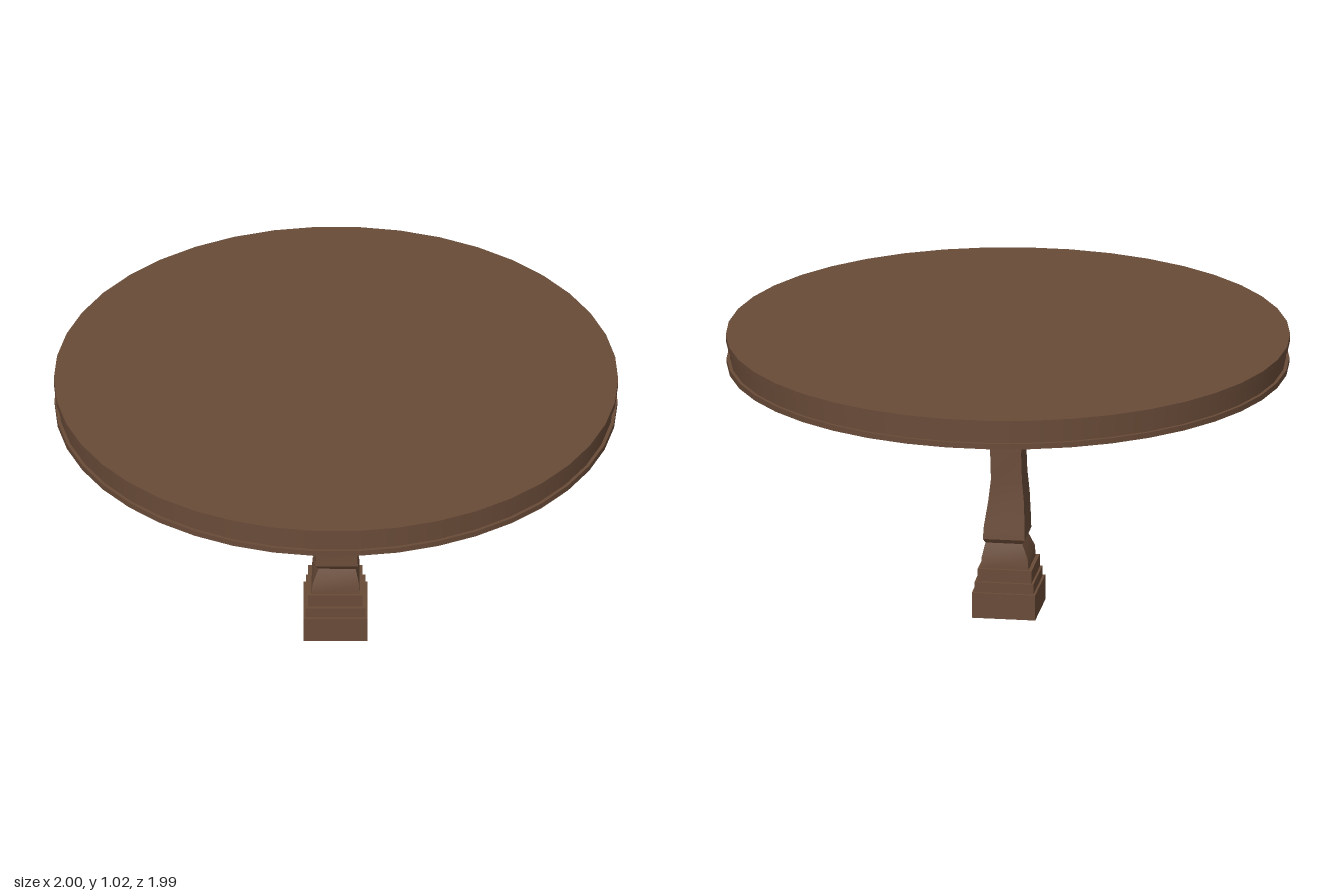
import * as THREE from 'three';

const SIDES = 42;

// Four-sided block from stacked rows [y, left x, right x, front z, back z];
// each side is smooth along its height, with sharp corners and flat ends.
function squareTurning(rows) {
  const position = [], index = [];
  const rings = rows.map(([y, x0, x1, zf, zb]) => [[x0, y, zf], [x1, y, zf], [x1, y, zb], [x0, y, zb]]);
  for (let s = 0; s < 4; s++) {
    const start = position.length / 3;
    rings.forEach((ring) => position.push(...ring[s], ...ring[(s + 1) % 4]));
    for (let r = 0; r < rings.length - 1; r++) {
      const a = start + r * 2;
      index.push(a, a + 1, a + 3, a, a + 3, a + 2);
    }
  }
  const addCap = (ring) => {
    const a = position.length / 3;
    ring.forEach((p) => position.push(...p));
    index.push(a, a + 1, a + 2, a, a + 2, a + 3);
  };
  addCap(rings[rings.length - 1]);
  addCap([...rings[0]].reverse());
  const geometry = new THREE.BufferGeometry();
  geometry.setAttribute('position', new THREE.Float32BufferAttribute(position, 3));
  geometry.setIndex(index);
  geometry.computeVertexNormals();
  return geometry;
}

export function createModel() {
  const group = new THREE.Group();
  const wood = new THREE.MeshStandardMaterial({ color: 0x694b38 });
  wood.name = 'brown wood';

  const add = (name, geometry) => {
    const mesh = new THREE.Mesh(geometry, wood);
    mesh.name = name;
    group.add(mesh);
  };
  const disc = (name, radius, y0, y1) => {
    const geometry = new THREE.CylinderGeometry(radius, radius, y1 - y0, SIDES, 1, false, Math.PI / 2);
    add(name, geometry.translate(0, (y0 + y1) / 2, 0));
  };
  const block = (name, y0, y1, ...sides) => add(name, squareTurning([[y0, ...sides], [y1, ...sides]]));

  // Round top: two lips around a recessed apron
  disc('topLip', 1, 1.0, 1.023);
  disc('apron', 0.985, 0.936, 1.0);
  disc('bottomLip', 0.997, 0.916, 0.936);

  // Stepped foot
  block('footBase', 0, 0.093, -0.115, 0.112, 0.125, -0.12);
  block('footStep', 0.093, 0.13, -0.107, 0.104, 0.115, -0.11);
  block('footUpperStep', 0.13, 0.176, -0.099, 0.094, 0.102, -0.099);
  add('footTaper', squareTurning([
    [0.176, -0.086, 0.083, 0.091, -0.087],
    [0.215, -0.083, 0.082, 0.088, -0.086],
    [0.267, -0.062, 0.07, 0.067, -0.072],
  ]));

  // Flared collar and waisted shaft
  add('collar', squareTurning([
    [0.267, -0.062, 0.07, 0.067, -0.072],
    [0.283, -0.072, 0.078, 0.078, -0.083],
  ]));
  add('shaft', squareTurning([
    [0.283, -0.072, 0.078, 0.078, -0.083],
    [0.33, -0.071, 0.075, 0.075, -0.078],
    [0.42, -0.067, 0.061, 0.072, -0.067],
    [0.5, -0.059, 0.052, 0.07, -0.062],
    [0.6, -0.056, 0.055, 0.064, -0.061],
    [0.65, -0.06, 0.061, 0.06, -0.057],
    [0.71, -0.069, 0.067, 0.052, -0.056],
    [0.83, -0.072, 0.067, 0.074, -0.074],
  ]));

  // Head of the post
  block('headBlock', 0.83, 0.868, -0.071, 0.067, 0.076, -0.072);
  block('headGroove', 0.868, 0.88, -0.066, 0.062, 0.07, -0.066);
  block('headCap', 0.88, 0.917, -0.072, 0.068, 0.075, -0.071);

  return group;
}
